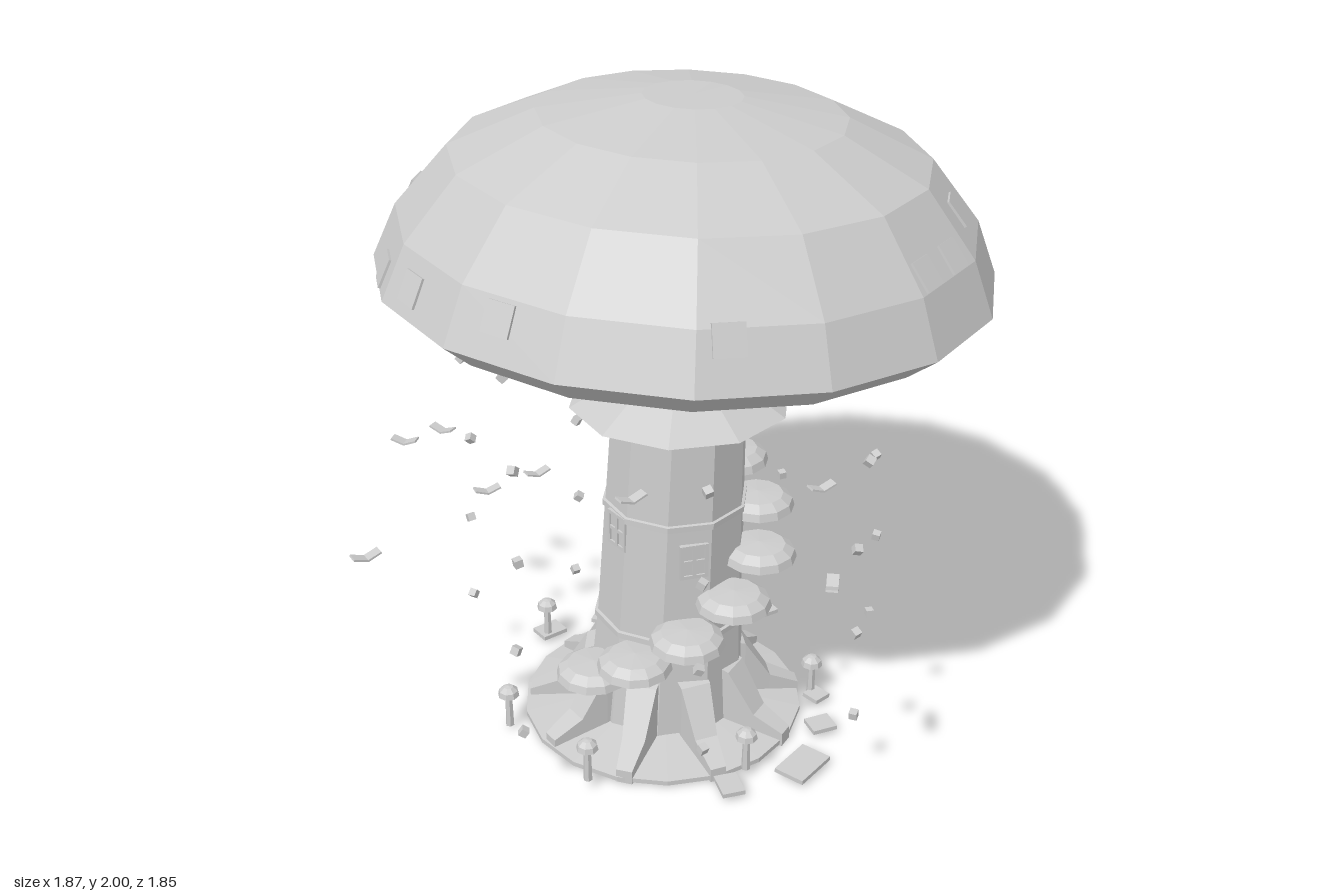
import * as THREE from 'three';

const DEG = Math.PI / 180;
const grey = new THREE.MeshStandardMaterial({ color: 0xcccccc, flatShading: true });
grey.name = 'pale grey';

// Trunk axis leans slightly towards +x
const axisX = (y) => 0.007 + 0.038 * y;
const AXIS_Z = 0.02;

function add(parent, name, geometry, x = 0, y = 0, z = 0) {
  const mesh = new THREE.Mesh(geometry, grey);
  mesh.name = name;
  mesh.position.set(x, y, z);
  parent.add(mesh);
  return mesh;
}

function group(parent, name) {
  const g = new THREE.Group();
  g.name = name;
  parent.add(g);
  return g;
}

function lathe(profile, sides) {
  const points = profile.map(([r, y]) => new THREE.Vector2(r, y));
  return new THREE.LatheGeometry(points, sides, Math.PI / sides);
}

const box = (w, h, d) => new THREE.BoxGeometry(w, h, d);

// Group on the trunk, turned so its +z points outwards at the given angle
function onTrunk(parent, name, angle, y) {
  const g = group(parent, name);
  g.position.set(axisX(y), y, AXIS_Z);
  g.rotation.y = angle * DEG;
  return g;
}

function buildCap(root) {
  const cap = group(root, 'cap');
  cap.position.set(0.062, 1.427, 0.01);
  cap.rotation.z = -0.036;
  const profile = [[0, 0], [0.79, 0], [0.88, 0.075], [0.815, 0.23], [0.67, 0.405], [0.43, 0.515], [0.14, 0.565], [0, 0.566]];
  add(cap, 'capShell', lathe(profile, 16));
  add(cap, 'gillDisc', lathe([[0, -0.035], [0.665, -0.035], [0.665, 0.01]], 16));
  for (let i = 0; i < 20; i++) {
    const gill = group(cap, 'gill');
    gill.rotation.y = i * 18 * DEG;
    add(gill, 'gillBar', box(0.022, 0.035, 0.44), 0, -0.045, 0.41);
  }

  // Raised square patches lying on the facets
  const patches = [[0.835, 0], [0.75, 0.29], [0.66, 0.51], [0.83, -0.3], [0.7, -0.48], [-0.665, -0.33],
    [-0.28, -0.66], [-0.55, -0.55], [-0.01, 0.82], [-0.53, 0.57], [-0.72, 0.28], [-0.775, 0.06], [0.55, 0.62]];
  for (const [px, pz] of patches) {
    const x = px - 0.07, z = pz - 0.01;
    const step = Math.PI / 8;
    const angle = Math.atan2(x, z);
    const facet = Math.round(angle / step) * step;
    const r = Math.hypot(x, z) * Math.cos(angle - facet) / Math.cos(step / 2);
    const k = r > 0.815 ? 2 : 3;
    const [r0, y0] = profile[k], [r1, y1] = profile[k + 1];
    const y = y0 + (y1 - y0) * (r - r0) / (r1 - r0);
    const patch = add(cap, 'capPatch', box(0.085, 0.085, 0.014), x, y, z);
    patch.rotation.order = 'YXZ';
    patch.rotation.y = facet;
    patch.rotation.x = -Math.atan2(r0 - r1, y1 - y0);
  }
}

function buildTrunk(root) {
  const trunk = lathe([[0.255, 0], [0.23, 0.36], [0.238, 0.362], [0.238, 0.38], [0.228, 0.382], [0.216, 0.75],
    [0.223, 0.752], [0.223, 0.77], [0.214, 0.772], [0.203, 1.1], [0.195, 1.41]], 10);
  const p = trunk.attributes.position;
  for (let i = 0; i < p.count; i++) p.setX(i, p.getX(i) + axisX(p.getY(i)));
  add(root, 'trunk', trunk, 0, 0, AXIS_Z);
  add(root, 'collar', lathe([[0, 1.085], [0.33, 1.085], [0.215, 1.15], [0.18, 1.15]], 10), axisX(1.1), 0, AXIS_Z);
}

// Buttress root: a box whose height and width taper outwards
function rootGeometry() {
  const g = new THREE.BoxGeometry(1, 1, 1, 1, 1, 3);
  const p = g.attributes.position;
  const sections = [[0.17, 0.25, 0.05], [0.25, 0.225, 0.047], [0.335, 0.09, 0.036], [0.43, 0.045, 0.025]];
  for (let i = 0; i < p.count; i++) {
    const [r, top, half] = sections[Math.round((p.getZ(i) + 0.5) * 3)];
    p.setXYZ(i, p.getX(i) * 2 * half, p.getY(i) > 0 ? top : 0, r);
  }
  return g;
}

function buildBase(root) {
  add(root, 'mound', lathe([[0, 0.005], [0.44, 0.005], [0.44, 0.02], [0.2, 0.06]], 18), 0, 0, 0.01);
  const geometry = rootGeometry();
  for (let i = 0; i < 8; i++) {
    const angle = -144 + i * 38.5;
    const r = add(root, 'buttressRoot', geometry, 0.005, 0, AXIS_Z);
    r.rotation.y = angle * DEG;
  }
  // Flat paving stones: x, z, width, depth, turn
  const stones = [[0.4, -0.4, 0.15, 0.11, 20], [0.34, 0.45, 0.15, 0.1, 40], [0.45, 0.27, 0.08, 0.07, 10],
    [0.48, 0.12, 0.06, 0.06, 30], [-0.3, -0.42, 0.09, 0.07, 25], [-0.1, -0.47, 0.09, 0.07, 60], [0.1, 0.5, 0.07, 0.09, 5]];
  for (const [x, z, w, d, turn] of stones) {
    add(root, 'pavingStone', box(w, 0.014, d), x, 0.023, z).rotation.y = turn * DEG;
  }
  // Small mushrooms around the base
  const stem = new THREE.CylinderGeometry(0.011, 0.014, 0.12, 6);
  const top = lathe([[0, 0], [0.034, 0], [0.03, 0.018], [0.015, 0.031], [0, 0.034]], 8);
  const spots = [[-0.5, 0.06, 0], [-0.31, 0.4, 0.02], [-0.31, -0.4, 0.0], [0.165, 0.44, 0.015], [0.32, -0.39, 0.02], [0.47, 0.09, -0.005]];
  for (const [x, z, lift] of spots) {
    const m = group(root, 'smallMushroom');
    m.position.set(x, lift, z);
    add(m, 'stem', stem, 0, 0.075, 0);
    add(m, 'mushroomTop', top, 0, 0.128, 0);
  }
}

function buildDoorAndWindows(root) {
  const door = onTrunk(root, 'door', 180, 0.18);
  add(door, 'doorPanel', box(0.13, 0.29, 0.03), 0, 0, 0.237);
  for (const s of [-1, 1]) add(door, 'doorPost', box(0.02, 0.31, 0.045), s * 0.073, 0, 0.238);
  add(door, 'doorLintel', box(0.17, 0.022, 0.045), 0, 0.155, 0.238);
  add(door, 'doorKnob', box(0.014, 0.014, 0.016), 0.045, -0.01, 0.257);

  for (const [angle, y] of [[4, 0.65], [180, 0.65], [-65, 0.71], [136, 1.01]]) {
    const w = onTrunk(root, 'window', angle, y);
    const r = 0.232 - 0.028 * y;
    add(w, 'pane', box(0.075, 0.1, 0.02), 0, 0, r - 0.01);
    for (const s of [-1, 0, 1]) {
      add(w, 'windowUpright', box(0.011, 0.11, 0.028), s * 0.038, 0, r - 0.008);
      add(w, 'windowRail', box(0.086, 0.011, 0.027), 0, s * 0.051, r - 0.008);
    }
  }
}

// Shelf mushrooms climbing the trunk in a spiral
function buildSteps(root) {
  const shelf = lathe([[0, -0.03], [0.09, -0.03], [0.115, -0.02], [0.108, 0.004], [0.08, 0.024], [0, 0.03]], 12);
  for (let i = 0; i < 10; i++) {
    const step = onTrunk(root, 'shelfStep', -66 + i * 32, 0.243 + i * 0.092);
    add(step, 'shelf', shelf, 0, 0, 0.285 - i * 0.004);
  }
}

function buildFloaters(root) {
  // Columns of drifting spore cubes below the cap
  const columns = [[0.67, 0.03], [0.45, 0.55], [-0.02, 0.62], [-0.5, 0.42], [-0.55, -0.33], [-0.2, -0.4], [0.26, -0.69], [0.49, -0.4]];
  const cube = box(0.024, 0.024, 0.024);
  columns.forEach(([x, z], c) => {
    for (let i = 0; i < 5; i++) {
      const spore = add(root, 'spore', cube, x + 0.01 * Math.sin(c + i * 2), 0.262 + i * 0.283, z + 0.01 * Math.cos(c * 2 + i));
      spore.rotation.set(0.3 * i, c + i, 0.2 * c);
    }
  });
  // Birds: two shallow raised wings each
  const birds = [[-0.9, 0.84, 0.32, 20], [-0.74, 0.81, -0.4, -25], [-0.61, 0.76, -0.55, -40], [-0.5, 0.66, -0.3, 10],
    [-0.33, 0.66, -0.38, 20], [0.41, 0.73, -0.5, 30], [0.41, 0.89, 0.29, 15], [0.67, 1.03, -0.38, 20],
    [0.49, 1.28, -0.77, 40], [-0.03, 0.8, -0.88, 85], [0.26, 0.945, 0.88, 70], [-0.2, 1.07, 0.55, 20]];
  const wing = box(0.044, 0.006, 0.032);
  for (const [x, y, z, turn] of birds) {
    const bird = group(root, 'bird');
    bird.position.set(x, y, z);
    bird.rotation.y = turn * DEG;
    for (const s of [-1, 1]) add(bird, 'wing', wing, s * 0.02, 0, 0).rotation.z = s * 0.35;
  }
}

export function createModel() {
  const model = new THREE.Group();
  model.name = 'mushroomTower';
  buildCap(model);
  buildTrunk(model);
  buildBase(model);
  buildDoorAndWindows(model);
  buildSteps(model);
  buildFloaters(model);
  return model;
}
